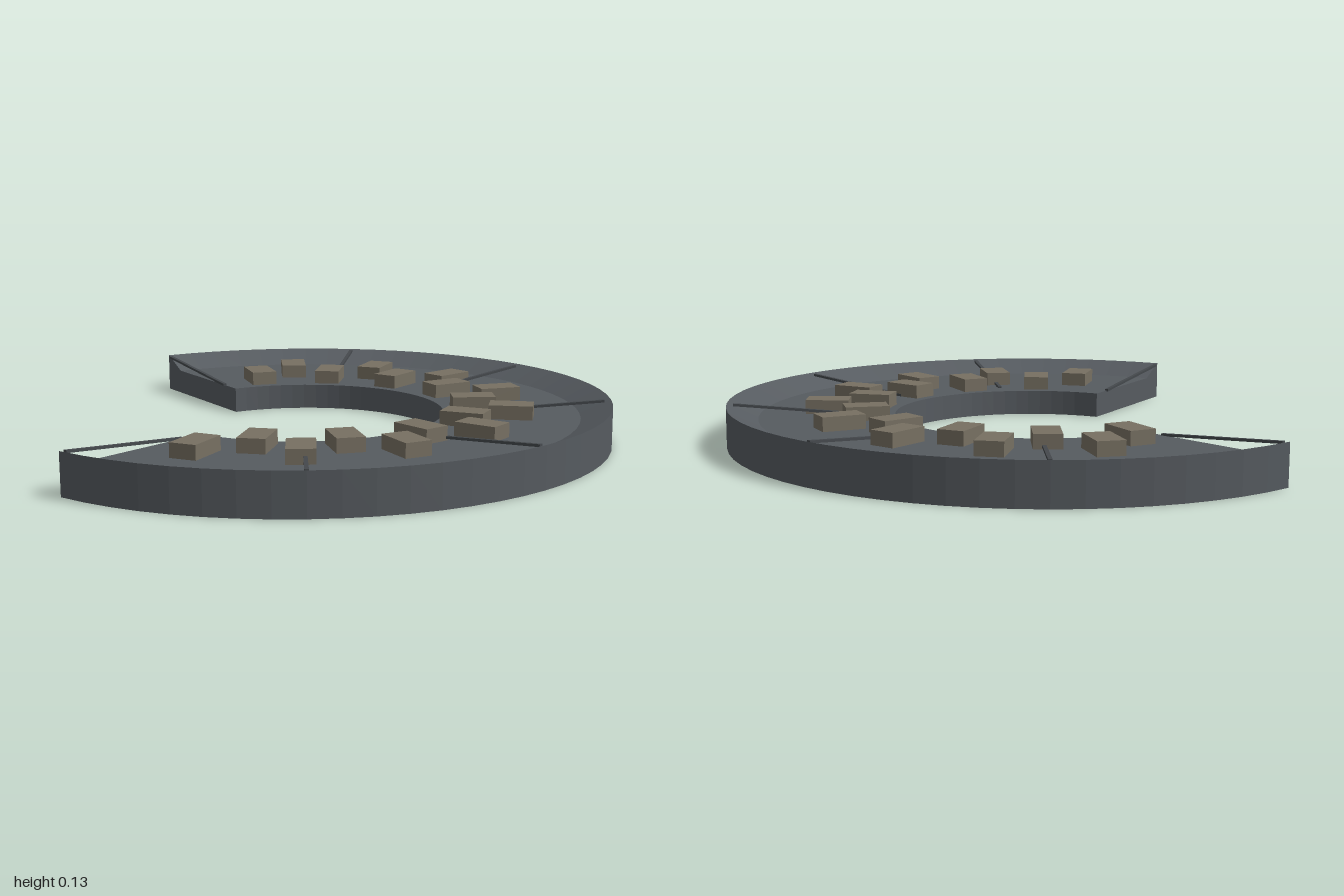
import * as THREE from 'three';

const CENTRE_X = -0.2;   // centre of the arc
const HALF_ARC = 2.2;    // the arc runs from -2.2 to 2.2 rad about +x
const FLOOR = 0.084;     // height of the flat walkway
const SEAMS = 7;
const BLOCKS = 18;

// Radius / height outline of the ring section
const SECTION = [[0.46, 0], [1, 0], [1, 0.13], [0.9, FLOOR], [0.46, FLOOR]]
  .map(([r, y]) => new THREE.Vector2(r, y));

export function createModel() {
  const group = new THREE.Group();
  const stone = new THREE.MeshStandardMaterial({ color: 0x565b60, flatShading: true });
  const capStone = new THREE.MeshStandardMaterial({ color: 0x565b60, side: THREE.DoubleSide });
  const seamMaterial = new THREE.MeshStandardMaterial({ color: 0x45494d });
  const blockMaterial = new THREE.MeshStandardMaterial({ color: 0x777062 });

  // Place a mesh on a spoke: its local +x points outward from the arc centre
  const addOnSpoke = (name, mesh, angle) => {
    const spoke = new THREE.Group();
    spoke.name = name;
    spoke.rotation.y = -angle;
    spoke.position.x = CENTRE_X;
    spoke.add(mesh);
    group.add(spoke);
  };

  // Open ring with a raised sloping rim
  const ring = new THREE.Mesh(
    new THREE.LatheGeometry([...SECTION, SECTION[0]], 48, Math.PI / 2 - HALF_ARC, 2 * HALF_ARC),
    stone
  );
  ring.name = 'ringPlatform';
  ring.position.x = CENTRE_X;
  group.add(ring);

  // Flat faces closing both ends of the arc
  const capGeometry = new THREE.ShapeGeometry(new THREE.Shape(SECTION));
  for (const side of [-1, 1]) {
    addOnSpoke('endFace', new THREE.Mesh(capGeometry, capStone), side * HALF_ARC);
  }

  // Thin sloping strips dividing the ring into six panels
  const seamGeometry = new THREE.BoxGeometry(0.44, 0.008, 0.012);
  for (let i = 0; i < SEAMS; i++) {
    const seam = new THREE.Mesh(seamGeometry, seamMaterial);
    seam.position.set(0.76, 0.105, 0);
    seam.rotation.z = 0.09;
    addOnSpoke('panelSeam', seam, HALF_ARC * (2 * i / (SEAMS - 1) - 1));
  }

  // Blocks staggered in two rows along the walkway
  const blockGeometry = new THREE.BoxGeometry(0.14, 0.045, 0.086);
  for (let i = 0; i < BLOCKS; i++) {
    const block = new THREE.Mesh(blockGeometry, blockMaterial);
    block.position.set(i % 2 ? 0.68 : 0.56, FLOOR + 0.0225, 0);
    addOnSpoke('block', block, 1.94 * (2 * i / (BLOCKS - 1) - 1));
  }

  return group;
}
